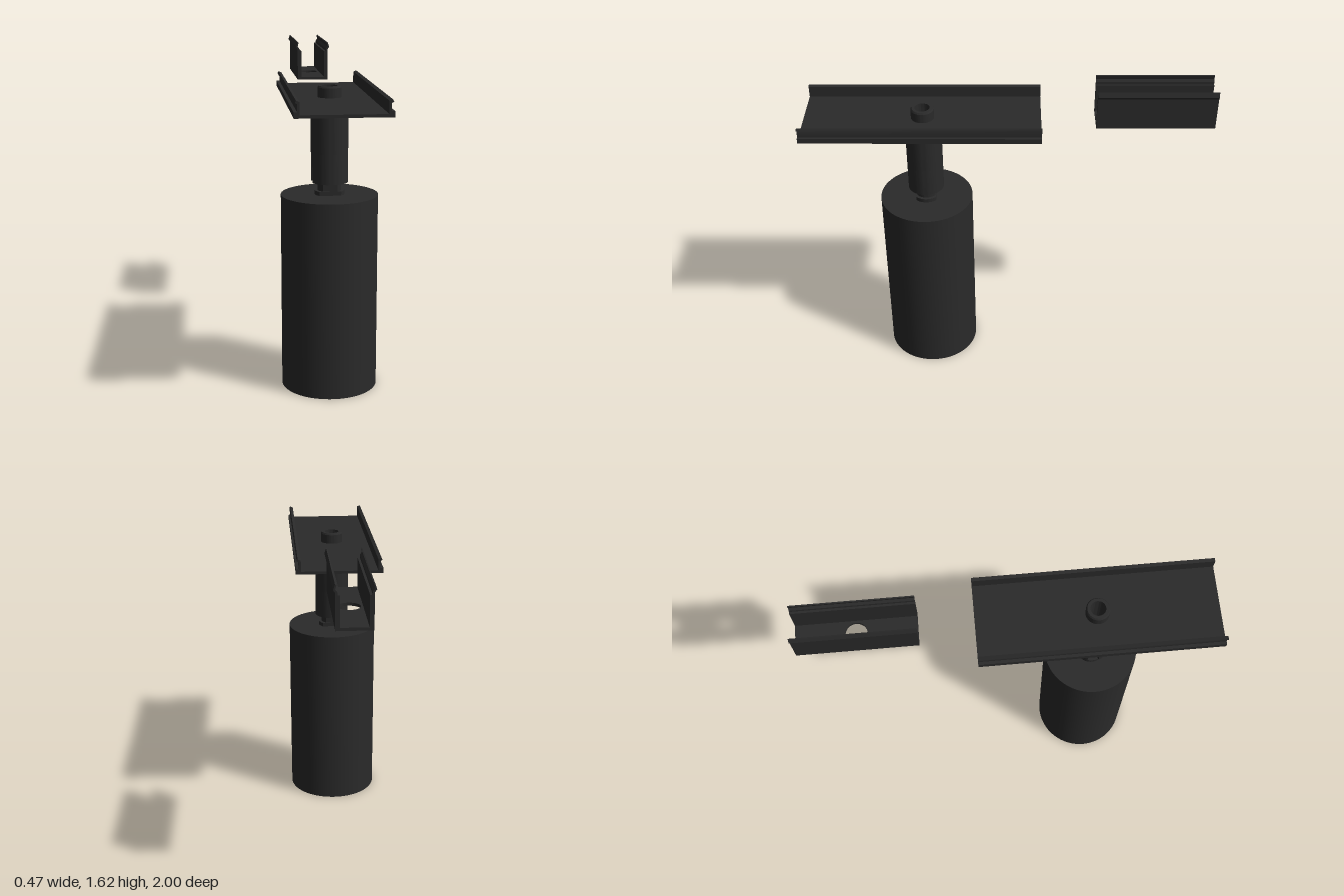
import * as THREE from 'three';
import { toCreasedNormals } from 'three/addons/utils/BufferGeometryUtils.js';

const LAMP_Z = 0.42;

export function createModel() {
  const model = new THREE.Group();
  const black = new THREE.MeshStandardMaterial({ color: 0x2a2a2a });
  black.name = 'matte black';
  const glass = new THREE.MeshStandardMaterial({ color: 0xcccccc });
  glass.name = 'pale lens';

  const add = (parent, name, geometry, material = black) => {
    const mesh = new THREE.Mesh(toCreasedNormals(geometry, 0.5), material);
    mesh.name = name;
    parent.add(mesh);
    return mesh;
  };
  const points = list => list.map(([x, y]) => new THREE.Vector2(x, y));
  const lathe = list => new THREE.LatheGeometry(points(list), 64);
  // Ring of rectangular section
  const tube = (inner, outer, y0, y1) =>
    lathe([[inner, y0], [outer, y0], [outer, y1], [inner, y1], [inner, y0]]);
  // Plan shape raised from y0 to y1
  const slab = (shape, y0, y1) =>
    new THREE.ExtrudeGeometry(shape, { depth: y1 - y0, bevelEnabled: false, curveSegments: 32 })
      .rotateX(-Math.PI / 2).translate(0, y0, 0);
  const hole = (shape, x, y, r) => {
    shape.holes.push(new THREE.Path().absarc(x, y, r, 0, Math.PI * 2, true));
    return shape;
  };
  const rect = (x, y0, y1) => new THREE.Shape(points([[-x, y0], [x, y0], [x, y1], [-x, y1]]));
  // Matching side rails along z, from one cross-section
  const rails = (parent, name, profile, z0, z1) => {
    for (const side of [1, -1]) {
      const shape = new THREE.Shape(points(profile.map(([x, y]) => [x * side, y])));
      const geometry = new THREE.ExtrudeGeometry(shape, { depth: z1 - z0, bevelEnabled: false });
      add(parent, (side > 0 ? 'left' : 'right') + name, geometry.translate(0, 0, z0));
    }
  };

  // Lamp: hollow can with a recessed lens
  const lamp = new THREE.Group();
  lamp.name = 'lamp';
  lamp.position.z = LAMP_Z;
  model.add(lamp);
  add(lamp, 'housing', lathe([
    [0.165, 0], [0.235, 0], [0.235, 0.965], [0.037, 0.965],
    [0.037, 0.945], [0.165, 0.945], [0.165, 0],
  ]));
  add(lamp, 'lens', new THREE.CylinderGeometry(0.165, 0.165, 0.01, 64).translate(0, 0.08, 0), glass);

  // Swivel joint: discs with flats front and back
  const flatted = (r, flat) => {
    const a = Math.asin(flat / r);
    const shape = new THREE.Shape();
    shape.absarc(0, 0, r, -a, a, false);
    shape.absarc(0, 0, r, Math.PI - a, Math.PI + a, false);
    shape.closePath();
    return hole(shape, 0, 0, 0.037);
  };
  add(lamp, 'jointFoot', slab(flatted(0.072, 0.05), 0.965, 0.985));
  add(lamp, 'jointNeck', slab(flatted(0.057, 0.045), 0.985, 1.18));

  // Sleeve: slotted on its right side, closed above
  const gap = 0.32;
  const cShape = new THREE.Shape();
  cShape.absarc(0, 0, 0.09, -Math.PI + gap, Math.PI - gap, false);
  cShape.absarc(0, 0, 0.065, Math.PI - gap, -Math.PI + gap, true);
  cShape.closePath();
  add(lamp, 'slottedSleeve', slab(cShape, 1.025, 1.17));
  add(lamp, 'sleeve', tube(0.037, 0.09, 1.17, 1.37));
  add(lamp, 'collar', tube(0.037, 0.071, 1.37, 1.42));
  add(lamp, 'stemTip', lathe([
    [0.037, 1.42], [0.057, 1.42], [0.057, 1.48], [0.052, 1.488], [0.037, 1.488], [0.037, 1.42],
  ]));

  // Long mounting plate with low clip rails
  const plate = new THREE.Group();
  plate.name = 'mountingPlate';
  model.add(plate);
  add(plate, 'plateFloor', slab(hole(rect(0.19, -1, 0.16), 0, -LAMP_Z, 0.045), 1.42, 1.434));
  rails(plate, 'PlateRail', [
    [0.19, 1.42], [0.215, 1.42], [0.215, 1.446], [0.2, 1.446], [0.2, 1.48],
    [0.21, 1.486], [0.205, 1.496], [0.19, 1.49],
  ], -0.16, 1);

  // Short separate channel with taller snap walls
  const channel = new THREE.Group();
  channel.name = 'channel';
  model.add(channel);
  add(channel, 'channelFloor', slab(hole(rect(0.062, 0.425, 1), 0, 0.715, 0.052), 1.42, 1.434));
  rails(channel, 'ChannelWall', [
    [0.062, 1.42], [0.082, 1.42], [0.082, 1.585], [0.091, 1.598], [0.083, 1.622],
    [0.077, 1.62], [0.082, 1.6], [0.073, 1.588], [0.073, 1.575], [0.062, 1.575],
  ], -1, -0.425);

  return model;
}
